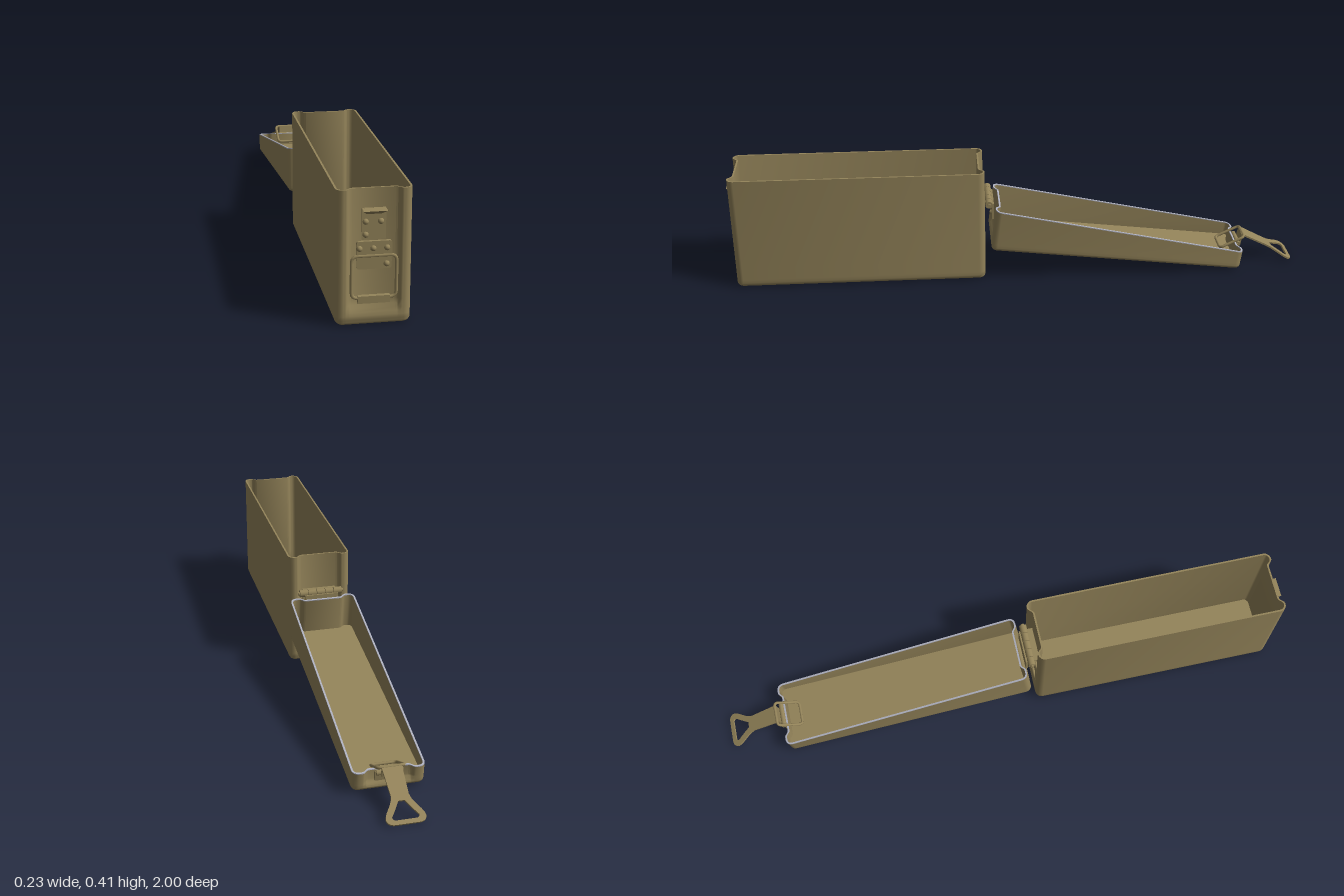
import * as THREE from 'three';
import { toCreasedNormals } from 'three/addons/utils/BufferGeometryUtils.js';

const paint = new THREE.MeshStandardMaterial({ color: 0x94845a });
paint.name = 'khaki paint';
const rimGrey = new THREE.MeshStandardMaterial({ color: 0xb0b2c0 });
rimGrey.name = 'grey rim';

const V = (x, y, z) => new THREE.Vector3(x, y, z);
const smooth = THREE.MathUtils.smoothstep;

function add(parent, name, geo, x = 0, y = 0, z = 0, mat = paint) {
  const m = new THREE.Mesh(geo, mat);
  m.name = name;
  m.position.set(x, y, z);
  parent.add(m);
  return m;
}

// Horizontal rounded rectangle whose two short ends are dished inwards by "notch"
function ring(hw, z0, z1, r, inset, yOf, notch) {
  const pts = [], cx = hw - r, rr = r - inset;
  const arc = (sx, cz, start) => {
    for (let k = 0; k <= 4; k++) {
      const a = start + (k * Math.PI) / 8;
      pts.push(V(sx * cx + rr * Math.cos(a), 0, cz + rr * Math.sin(a)));
    }
  };
  const xs = [-0.084, -0.079, -0.074, -0.069, -0.064, 0.064, 0.069, 0.074, 0.079, 0.084];
  const end = (dir, z) => xs.forEach((x) =>
    pts.push(V(-dir * x, 0, z - dir * notch * smooth(0.084 - Math.abs(x), 0, 0.02))));
  arc(1, z1 - r, 0);
  end(1, z1 - inset);
  arc(-1, z1 - r, Math.PI / 2);
  arc(-1, z0 + r, Math.PI);
  end(-1, z0 + inset);
  arc(1, z0 + r, Math.PI * 1.5);
  pts.forEach((p) => { p.y = yOf(p.z); });
  return pts;
}

// Skin through a list of rings, with optional caps on the first and last
function skin(rings, capFirst, capLast) {
  const n = rings[0].length, pos = [], idx = [];
  rings.forEach((r) => r.forEach((p) => pos.push(p.x, p.y, p.z)));
  for (let j = 0; j < rings.length - 1; j++) {
    for (let i = 0; i < n; i++) {
      const a = j * n + i, b = j * n + ((i + 1) % n);
      idx.push(a, a + n, b, b, a + n, b + n);
    }
  }
  const cap = (j, flip) => {
    const c = pos.length / 3, mid = V(0, 0, 0);
    rings[j].forEach((p) => mid.addScaledVector(p, 1 / n));
    pos.push(mid.x, mid.y, mid.z);
    for (let i = 0; i < n; i++) {
      const a = j * n + i, b = j * n + ((i + 1) % n);
      idx.push(c, flip ? b : a, flip ? a : b);
    }
  };
  if (capFirst) cap(0, false);
  if (capLast) cap(rings.length - 1, true);
  const g = new THREE.BufferGeometry();
  g.setAttribute('position', new THREE.Float32BufferAttribute(pos, 3));
  g.setIndex(idx);
  return toCreasedNormals(g, 0.7);
}

function roundRect(x0, y0, x1, y1, r, S = THREE.Shape) {
  const s = new S();
  s.moveTo(x0 + r, y0);
  s.lineTo(x1 - r, y0); s.quadraticCurveTo(x1, y0, x1, y0 + r);
  s.lineTo(x1, y1 - r); s.quadraticCurveTo(x1, y1, x1 - r, y1);
  s.lineTo(x0 + r, y1); s.quadraticCurveTo(x0, y1, x0, y1 - r);
  s.lineTo(x0, y0 + r); s.quadraticCurveTo(x0, y0, x0 + r, y0);
  return s;
}
const slab = (shape, depth) =>
  new THREE.ExtrudeGeometry(shape, { depth, bevelEnabled: false, curveSegments: 6 });
const tube = (pts, r, closed) =>
  new THREE.TubeGeometry(new THREE.CatmullRomCurve3(pts, closed), 72, r, 8, closed);
const wireLoop = (x0, y0, x1, y1, r, thick) => tube(
  roundRect(x0, y0, x1, y1, r).getSpacedPoints(48).slice(0, -1).map((p) => V(p.x, p.y, 0)), thick, true);

// Domed rivet facing +z
function rivet(parent, x, y, z, r = 0.009) {
  const g = new THREE.SphereGeometry(r, 12, 6, 0, Math.PI * 2, 0, Math.PI / 2).rotateX(Math.PI / 2);
  return add(parent, 'rivet', g, x, y, z);
}

function buildBody(root) {
  const R = 0.018, rings = [];
  const row = (inset, y) => rings.push(
    ring(0.111, 0.112, 0.986, 0.023, inset, () => y, 0.016 * smooth(y, 0.025, 0.075)));
  for (let k = 0; k <= 4; k++) {
    const a = (k * Math.PI) / 8;
    row(R * (1 - Math.sin(a)), R * (1 - Math.cos(a)));
  }
  [0.03, 0.04, 0.05, 0.06, 0.075, 0.411].forEach((y) => row(0, y));
  [0.411, 0.075, 0.05, 0.03, 0.008].forEach((y) => row(0.006, y));
  add(root, 'boxBody', skin(rings, true, true));
}

function buildFrontFittings(root) {
  const g = new THREE.Group();
  g.name = 'frontFittings';
  g.position.z = 0.97;
  root.add(g);
  add(g, 'upperPlate', slab(roundRect(-0.035, 0.258, 0.035, 0.352, 0.002), 0.004));
  // Sloping catch lip at the top of the upper plate
  const lip = new THREE.BufferGeometry().setFromPoints([
    V(-0.022, 0.334, 0.004), V(0.022, 0.334, 0.004), V(0.035, 0.35, 0.03), V(-0.035, 0.35, 0.03),
    V(-0.034, 0.352, 0.003), V(0.034, 0.352, 0.003)]);
  lip.setIndex([0, 1, 2, 0, 2, 3, 3, 2, 5, 3, 5, 4, 0, 3, 4, 1, 5, 2]);
  add(g, 'catchLip', toCreasedNormals(lip, 0.1));
  add(g, 'middlePlate', slab(roundRect(-0.05, 0.2, 0.053, 0.254, 0.008), 0.009));
  add(g, 'lowerPlate', slab(roundRect(-0.05, 0.168, 0.053, 0.205, 0.01), 0.004));
  add(g, 'wireBail', wireLoop(-0.064, 0.082, 0.067, 0.21, 0.018, 0.005), 0, 0, 0.007);
  add(g, 'bailClip', new THREE.BoxGeometry(0.094, 0.022, 0.014), 0.001, 0.078, 0.007);
  [[-0.024, 0.312], [0.02, 0.312], [-0.024, 0.273], [0.038, 0.183]].forEach(([x, y]) => rivet(g, x, y, 0.004));
  [-0.042, -0.002, 0.038].forEach((x) => rivet(g, x, 0.233, 0.008));
}

function buildHinge(root) {
  const g = new THREE.Group();
  g.name = 'hinge';
  root.add(g);
  for (let i = 0; i < 5; i++) {
    const c = new THREE.CylinderGeometry(0.013, 0.013, 0.029, 14).rotateZ(Math.PI / 2);
    add(g, 'hingeKnuckle', c, (i - 2) * 0.031, 0.276, 0.097);
  }
  add(g, 'hingePin', new THREE.CylinderGeometry(0.006, 0.006, 0.165, 10).rotateZ(Math.PI / 2), 0, 0.276, 0.097);
  add(g, 'bodyLeaf', new THREE.BoxGeometry(0.12, 0.06, 0.006), 0, 0.25, 0.125);
  add(g, 'bodyLeafLip', new THREE.BoxGeometry(0.12, 0.005, 0.03), 0, 0.278, 0.113);
  add(g, 'lidLeaf', new THREE.BoxGeometry(0.12, 0.06, 0.008), 0, 0.243, 0.083);
  [-0.04, 0, 0.04].forEach((x) => rivet(g, x, 0.232, 0.087, 0.008));
  add(g, 'rearWireBail', wireLoop(-0.06, 0.06, 0.06, 0.2, 0.018, 0.005), 0, 0, 0.12);
}

function buildLid(root) {
  const lid = new THREE.Group();
  lid.name = 'lid';
  lid.position.set(0, 0.115, 0.093);
  lid.rotation.x = -0.1215;
  root.add(lid);
  const L = 0.9, R = 0.014, rings = [];
  const height = (z) => 0.152 + (z * 0.085) / L;
  const make = (inset, yOf, y) => ring(0.117, -L, 0, 0.021, inset, yOf, 0.013 * smooth(y, 0.012, 0.036));
  for (let k = 0; k <= 4; k++) {
    const a = (k * Math.PI) / 8, y = R * (1 - Math.cos(a));
    rings.push(make(R * (1 - Math.sin(a)), () => y, 0));
  }
  [0.018, 0.024, 0.03, 0.036].forEach((y) => rings.push(make(0, () => y, y)));
  rings.push(make(0, height, 1), make(0.006, height, 1), make(0.006, () => 0.024, 1));
  add(lid, 'lidShell', skin(rings, false, true));
  // Pale strip along the rim
  const up = (z) => height(z) + 0.003;
  add(lid, 'lidRim', skin([make(0, height, 1), make(0, up, 1), make(0.006, up, 1), make(0.006, height, 1)]),
    0, 0, 0, rimGrey);

  // Outer face with a handle recess and a catch recess
  const face = new THREE.Shape(rings[0].map((p) => new THREE.Vector2(p.x, p.z)));
  face.holes.push(roundRect(-0.068, -0.59, 0.068, -0.2, 0.03, THREE.Path),
    roundRect(-0.068, -0.865, 0.068, -0.65, 0.02, THREE.Path));
  add(lid, 'lidFace', slab(face, 0.018).rotateX(Math.PI / 2), 0, 0.018, 0);
  add(lid, 'recessFloor', new THREE.BoxGeometry(0.19, 0.005, 0.84), 0, 0.0205, -0.45);

  // Folding carry handle lying in its recess
  add(lid, 'carryHandle', tube([V(-0.03, 0.009, -0.27), V(-0.03, 0.009, -0.235), V(0.005, 0.009, -0.225),
    V(0.035, 0.008, -0.26), V(0.04, 0.008, -0.33), V(0.04, 0.008, -0.46), V(0.035, 0.008, -0.53),
    V(0.005, 0.009, -0.565), V(-0.03, 0.009, -0.555), V(-0.03, 0.009, -0.52)], 0.0085, false));
  [-0.265, -0.525].forEach((z) => {
    add(lid, 'handleClamp', new THREE.BoxGeometry(0.04, 0.014, 0.03), -0.03, 0.011, z);
    const r = rivet(lid, -0.03, 0.005, z, 0.007);
    r.rotation.x = Math.PI / 2;
  });
  // Catch backing plate and rivets
  add(lid, 'catchBacking', new THREE.BoxGeometry(0.1, 0.004, 0.13), 0, 0.016, -0.775);
  for (const x of [-0.032, 0.032]) for (const z of [-0.735, -0.815]) {
    rivet(lid, x, 0.014, z).rotation.x = Math.PI / 2;
  }
  add(lid, 'latchMount', new THREE.BoxGeometry(0.09, 0.036, 0.012), 0, 0.05, -L + 0.01);
  add(lid, 'latchPivot', new THREE.CylinderGeometry(0.009, 0.009, 0.085, 12).rotateZ(Math.PI / 2), 0, 0.064, -L + 0.003);
}

function buildLatch(root) {
  // Pull lever with a flared, pierced end
  const s = new THREE.Shape();
  s.moveTo(-0.032, 0);
  s.lineTo(-0.028, 0.1);
  s.bezierCurveTo(-0.03, 0.13, -0.062, 0.155, -0.062, 0.178);
  s.quadraticCurveTo(-0.06, 0.198, -0.035, 0.198);
  s.lineTo(0.035, 0.198);
  s.quadraticCurveTo(0.06, 0.198, 0.062, 0.178);
  s.bezierCurveTo(0.062, 0.155, 0.03, 0.13, 0.028, 0.1);
  s.lineTo(0.032, 0);
  const hole = new THREE.Path();
  hole.moveTo(-0.01, 0.12);
  hole.lineTo(0.01, 0.12);
  hole.quadraticCurveTo(0.02, 0.14, 0.042, 0.172);
  hole.quadraticCurveTo(0.042, 0.182, 0.032, 0.183);
  hole.lineTo(-0.032, 0.183);
  hole.quadraticCurveTo(-0.042, 0.182, -0.042, 0.172);
  hole.quadraticCurveTo(-0.02, 0.14, -0.01, 0.12);
  s.holes.push(hole);
  const lever = add(root, 'latchLever', slab(s, 0.006), 0, 0.096, -0.825);
  lever.rotation.x = -Math.PI / 2 - 0.48;

  // Wire loop leaning in over the rim, and the link to the lid
  const loop = add(root, 'latchLoop', wireLoop(-0.043, 0, 0.043, 0.095, 0.014, 0.005), 0, 0.058, -0.74);
  loop.rotation.x = -Math.PI / 2 + 0.45;
  const link = add(root, 'latchLink', new THREE.BoxGeometry(0.058, 0.042, 0.005), 0, 0.08, -0.818);
  link.rotation.x = -0.2;
}

export function createModel() {
  const root = new THREE.Group();
  root.name = 'metalStorageBox';
  buildBody(root);
  buildFrontFittings(root);
  buildHinge(root);
  buildLid(root);
  buildLatch(root);
  return root;
}
